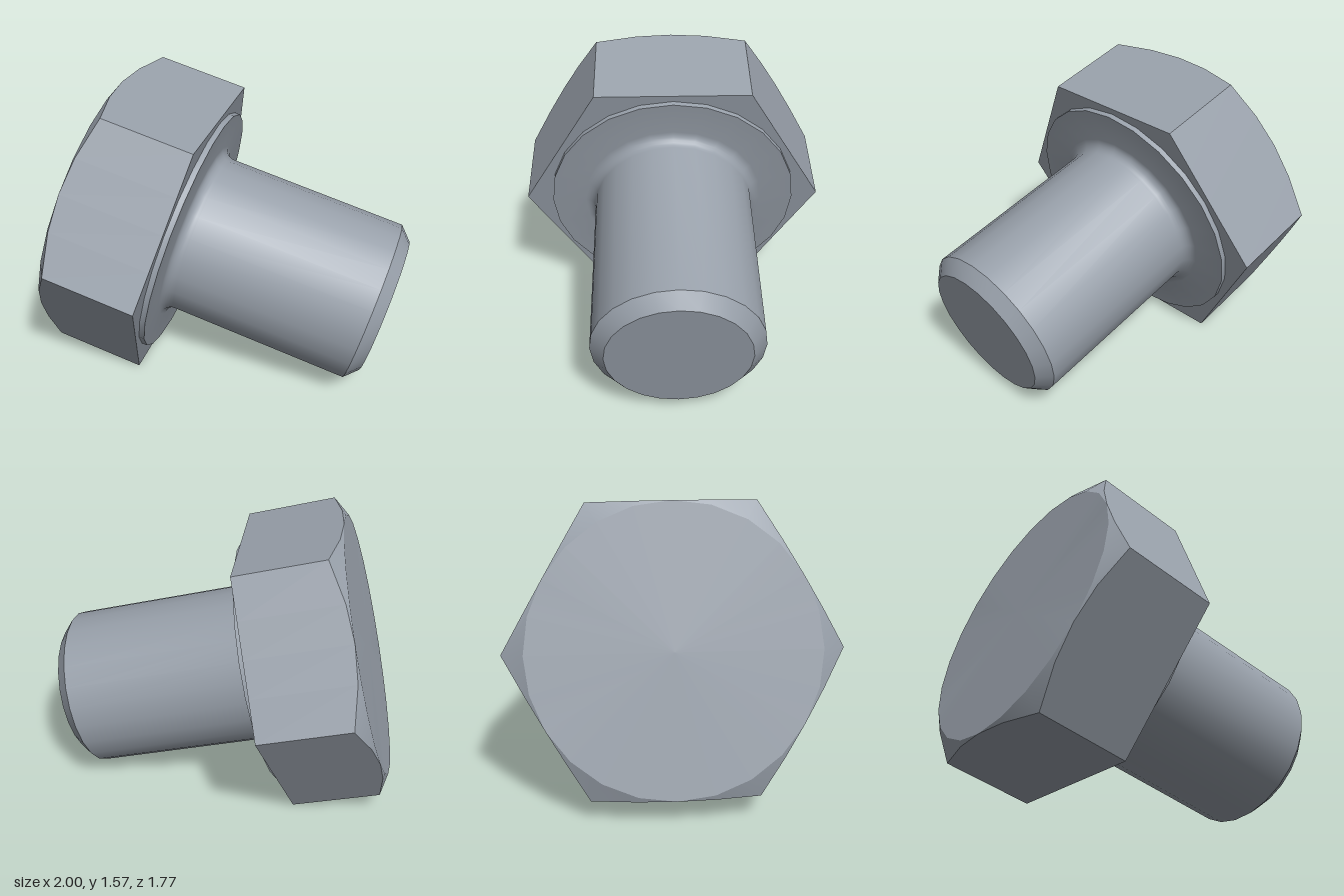
import * as THREE from 'three';
import { toCreasedNormals } from 'three/addons/utils/BufferGeometryUtils.js';

const SIDES = 24;
const CORNER = 0.853;                              // hexagon corner radius
const FLAT = CORNER * Math.cos(Math.PI / 6);       // hexagon flat radius
const HEAD = 0.567;                                // head thickness
const CHAMFER = Math.tan(Math.PI / 6);             // slope of the head chamfer

function lathe(profile) {
  return new THREE.LatheGeometry(profile.map(([r, y]) => new THREE.Vector2(r, y)), SIDES);
}

// Hexagonal head: a lathe whose outer rings are pushed out to a hexagon,
// with the top rim cut by a cone
function headGeometry() {
  const geo = lathe([[0, -HEAD], [FLAT, -HEAD], [CORNER, -HEAD / 2], [CORNER, 0], [0, 0]]);
  const pos = geo.attributes.position;
  for (let i = 0; i < pos.count; i++) {
    const x = pos.getX(i), y = pos.getY(i), z = pos.getZ(i);
    const r = Math.hypot(x, z);
    if (r < FLAT + 0.01) continue;
    const angle = Math.atan2(x, z);
    const step = Math.PI / 3;
    const hex = FLAT / Math.cos(angle - Math.round(angle / step) * step);
    const newY = y < -0.01 ? -HEAD + (hex - FLAT) * CHAMFER : 0;
    pos.setXYZ(i, x * hex / r, newY, z * hex / r);
  }
  return toCreasedNormals(geo, 0.4);
}

// Washer face, fillet, shank and chamfered tip in one profile
function shankGeometry() {
  const r = 0.453, face = 0.03, fillet = 0.06;
  const profile = [[0.703, 0], [0.703, face]];
  for (let i = 0; i <= 6; i++) {
    const a = (i / 6) * Math.PI / 2;
    profile.push([r + fillet * (1 - Math.sin(a)), face + fillet * (1 - Math.cos(a))]);
  }
  profile.push([r, 1.095], [0.382, 1.165], [0, 1.165]);
  return toCreasedNormals(lathe(profile), 0.4);
}

export function createModel() {
  const steel = new THREE.MeshStandardMaterial({ color: 0x99a1ab });
  steel.name = 'steel';

  const bolt = new THREE.Group();
  bolt.name = 'bolt';
  const head = new THREE.Mesh(headGeometry(), steel);
  head.name = 'hexHead';
  const shank = new THREE.Mesh(shankGeometry(), steel);
  shank.name = 'shank';
  bolt.add(head, shank);

  // Tilt the bolt so that its axis leans down, right and forward
  const axis = new THREE.Vector3(0.948, -0.246, 0.204).normalize();
  const up = new THREE.Vector3(-0.21, 0.006, 0.978).cross(axis).normalize();
  const side = new THREE.Vector3().crossVectors(axis, up);
  bolt.quaternion.setFromRotationMatrix(new THREE.Matrix4().makeBasis(side, axis, up));
  bolt.position.set(-0.232, 0.715, 0.05);

  const model = new THREE.Group();
  model.name = 'hexBolt';
  model.add(bolt);
  return model;
}
